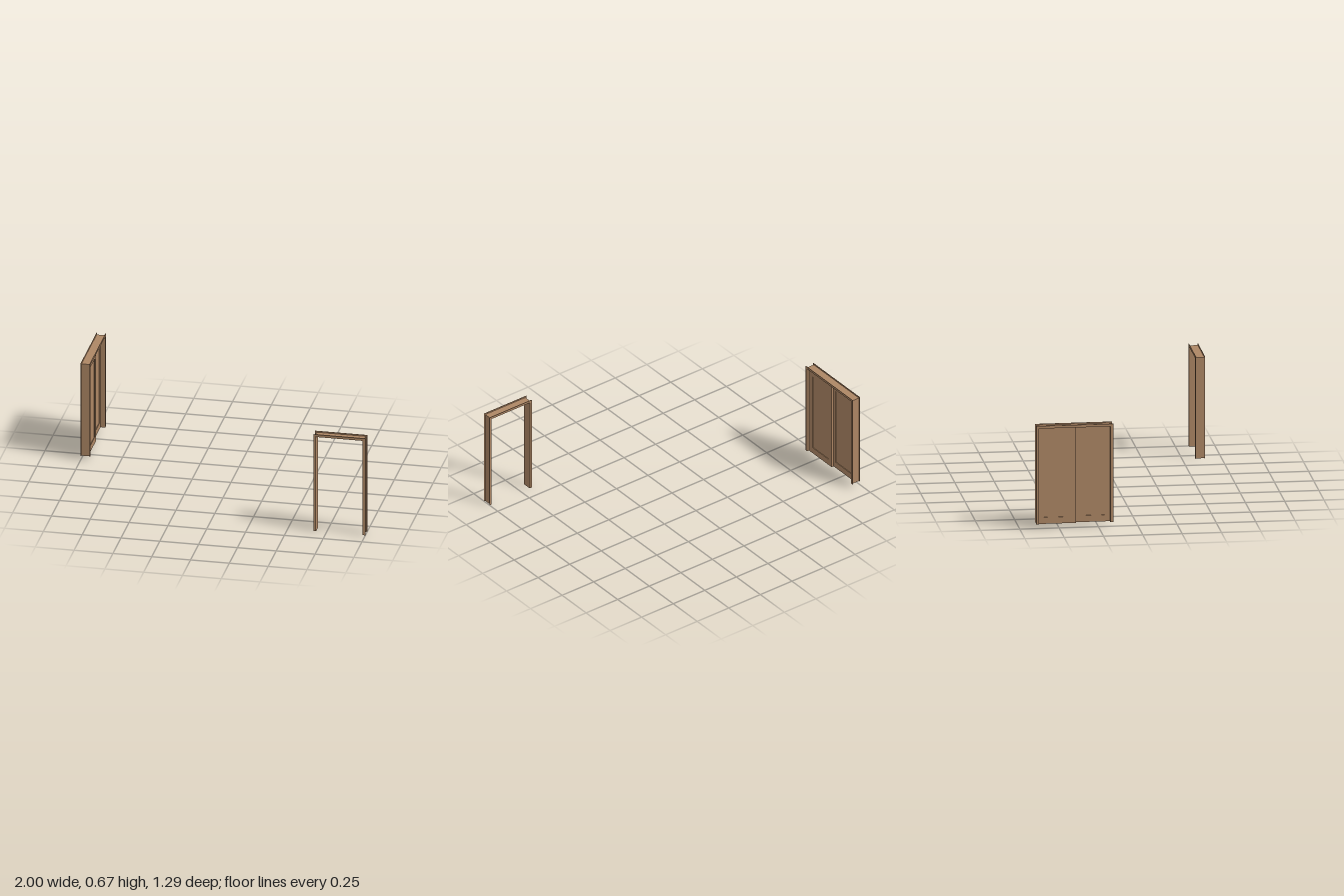
import * as THREE from 'three';

const wood = new THREE.MeshStandardMaterial({ color: 0xae8765 });
wood.name = 'wood';

// Box given by its lower and upper limits on each axis
function slab(parent, name, [x0, x1], [y0, y1], [z0, z1]) {
  const mesh = new THREE.Mesh(new THREE.BoxGeometry(x1 - x0, y1 - y0, z1 - z0), wood);
  mesh.position.set((x0 + x1) / 2, (y0 + y1) / 2, (z0 + z1) / 2);
  mesh.name = name;
  parent.add(mesh);
}

// Lined opening facing z, centred on x and z, standing on y = 0
function doorway(name, width, height, depth) {
  const group = new THREE.Group();
  group.name = name;
  const w = width / 2, d = depth / 2;
  const casing = 0.015, plate = 0.003, setback = 0.009, lining = 0.009;
  const top = height - setback;

  // Lining boards, set back from the outer edge of the trim
  for (const s of [-1, 1]) {
    const xs = [s * (w - setback), s * (w - setback - lining)].sort((a, b) => a - b);
    slab(group, s < 0 ? 'rightJamb' : 'leftJamb', xs, [0, top], [-d + plate, d - plate]);
  }
  const inner = w - setback - lining;
  slab(group, 'headJamb', [-inner, inner], [top - lining, top], [-d + plate, d - plate]);

  // Thin trim on both faces
  for (const s of [-1, 1]) {
    const zs = [s * d, s * (d - plate)].sort((a, b) => a - b);
    const side = s < 0 ? 'back' : 'front';
    slab(group, side + 'CasingRight', [-w, -w + casing], [0, height], zs);
    slab(group, side + 'CasingLeft', [w - casing, w], [0, height], zs);
    slab(group, side + 'CasingTop', [-w + casing, w - casing], [height - casing, height], zs);
  }
  return group;
}

// Door leaf: stiles and rails around a slightly recessed panel
function doorLeaf(name, width, height) {
  const group = new THREE.Group();
  group.name = name;
  const w = width / 2, t = 0.0075, stile = 0.034, rail = 0.042;
  slab(group, 'outerStile', [-w, -w + stile], [0, height], [-t, t]);
  slab(group, 'innerStile', [w - stile, w], [0, height], [-t, t]);
  slab(group, 'bottomRail', [-w + stile, w - stile], [0, rail], [-t, t]);
  slab(group, 'topRail', [-w + stile, w - stile], [height - rail, height], [-t, t]);
  slab(group, 'panel', [-w + stile, w - stile], [rail, height - rail], [-t + 0.004, t - 0.004]);
  return group;
}

export function createModel() {
  const model = new THREE.Group();
  model.name = 'doorSet';

  // Open doorway
  const open = doorway('openDoorway', 0.335, 0.665, 0.06);
  open.position.set(0.8325, 0, 0.615);
  model.add(open);

  // Closet opening, turned to face +x, with two overlapping sliding doors
  const closet = doorway('slidingCloset', 0.49, 0.64, 0.06);
  for (const s of [-1, 1]) {
    const leaf = doorLeaf(s < 0 ? 'frontSlidingDoor' : 'rearSlidingDoor', 0.235, 0.622);
    leaf.position.set(s * 0.1095, 0, -s * 0.008);
    closet.add(leaf);
  }
  closet.rotation.y = Math.PI / 2;
  closet.position.set(-0.97, 0.026, -0.4);
  model.add(closet);

  return model;
}
